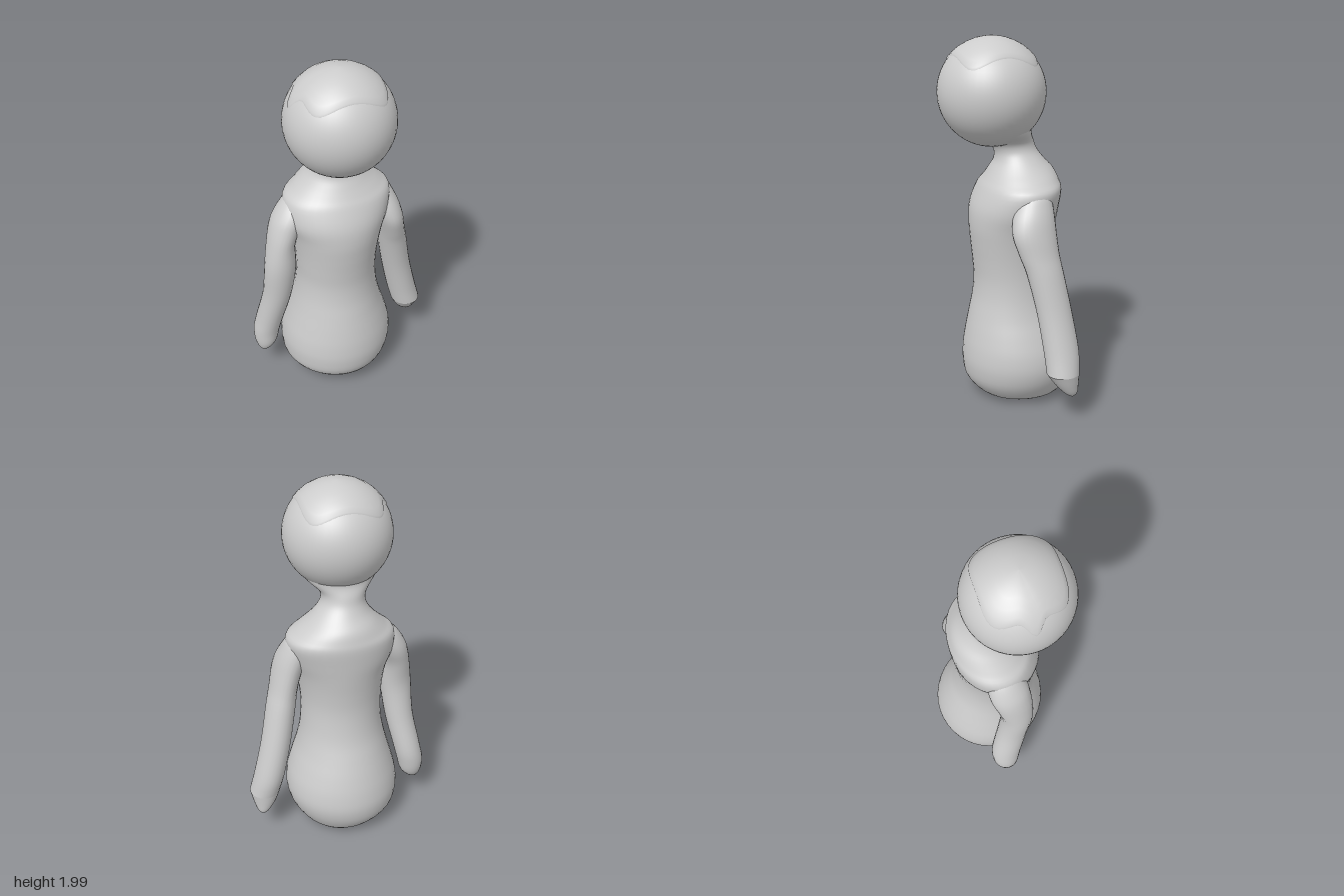
import * as THREE from 'three';

const clay = new THREE.MeshStandardMaterial({ color: 0xcccccc });
clay.name = 'clay grey';

// Skins closed rings of points, listed from bottom to top
function skin(name, rings) {
  const n = rings[0].length, index = [];
  for (let i = 0; i < rings.length - 1; i++) {
    for (let j = 0; j < n; j++) {
      const k = (j + 1) % n, a = i * n, b = a + n;
      index.push(a + j, b + j, a + k, a + k, b + j, b + k);
    }
  }
  const geometry = new THREE.BufferGeometry();
  geometry.setAttribute('position', new THREE.Float32BufferAttribute(rings.flat(2), 3));
  geometry.setIndex(index);
  geometry.computeVertexNormals();
  const mesh = new THREE.Mesh(geometry, clay);
  mesh.name = name;
  return mesh;
}

// Smooth loft through level ellipses given as [y, xMin, xMax, zMin, zMax]
function loft(name, rows, sides = 32, steps = 4) {
  const curve = (pick) => new THREE.CatmullRomCurve3(rows.map(pick), false, 'catmullrom', 0.5);
  const centre = curve(([y, x0, x1, z0, z1]) => new THREE.Vector3((x0 + x1) / 2, y, (z0 + z1) / 2));
  const radius = curve(([, x0, x1, z0, z1]) => new THREE.Vector3((x1 - x0) / 2, 0, (z1 - z0) / 2));
  const rings = [], count = (rows.length - 1) * steps;
  for (let i = 0; i <= count; i++) {
    const c = centre.getPoint(i / count), r = radius.getPoint(i / count), ring = [];
    for (let j = 0; j < sides; j++) {
      const a = (j / sides) * Math.PI * 2;
      ring.push([c.x + Math.max(r.x, 0.0005) * Math.cos(a), c.y, c.z + Math.max(r.z, 0.0005) * Math.sin(a)]);
    }
    rings.push(ring);
  }
  return skin(name, rings);
}

// Rounded-square cap with a small tab on one side, lying on the head
function skullCap(head) {
  const rings = [], sides = 72;
  for (const [f, R] of [[1.01, 0.282], [1, 0.291], [0.9, 0.291], [0.75, 0.291], [0.55, 0.29], [0.35, 0.29], [0.15, 0.29], [0.001, 0.29]]) {
    const ring = [];
    for (let j = 0; j < sides; j++) {
      const a = (j / sides) * Math.PI * 2, c = Math.cos(a), s = Math.sin(a);
      const extent = 0.207 / Math.pow(c ** 4 + s ** 4, 0.25) + 0.055 * Math.exp(-(((a - Math.PI) / 0.2) ** 2));
      const r = extent * f;
      ring.push([head.x + r * c, head.y + Math.sqrt(Math.max(R * R - r * r, 0)), head.z + r * s]);
    }
    rings.push(ring);
  }
  return skin('skullCap', rings);
}

export function createModel() {
  const model = new THREE.Group();
  model.name = 'figure';

  // Body with rounded base, waist, shoulders and neck
  model.add(loft('torso', [
    [0.005, -0.01, 0.01, -0.1, -0.09],
    [0.022, -0.2, 0.165, -0.27, 0.13],
    [0.1, -0.325, 0.24, -0.345, 0.23],
    [0.2, -0.352, 0.275, -0.372, 0.257],
    [0.3, -0.345, 0.272, -0.362, 0.255],
    [0.4, -0.32, 0.245, -0.335, 0.24],
    [0.5, -0.293, 0.212, -0.3, 0.22],
    [0.6, -0.272, 0.19, -0.265, 0.2],
    [0.7, -0.262, 0.18, -0.245, 0.192],
    [0.8, -0.265, 0.18, -0.236, 0.198],
    [0.9, -0.273, 0.19, -0.24, 0.208],
    [1.0, -0.29, 0.21, -0.25, 0.215],
    [1.1, -0.325, 0.245, -0.26, 0.205],
    [1.2, -0.32, 0.262, -0.266, 0.165],
    [1.25, -0.27, 0.215, -0.256, 0.135],
    [1.3, -0.22, 0.155, -0.235, 0.105],
    [1.35, -0.18, 0.105, -0.19, 0.078],
    [1.4, -0.164, 0.07, -0.155, 0.077],
    [1.45, -0.18, 0.073, -0.137, 0.11],
    [1.5, -0.238, 0.13, -0.118, 0.2],
    [1.54, -0.27, 0.16, -0.12, 0.3],
  ], 40));

  // Arm on the model's right, ending in a rounded point
  model.add(loft('rightArm', [
    [0.148, -0.468, -0.466, -0.08, -0.078],
    [0.17, -0.492, -0.435, -0.115, -0.045],
    [0.22, -0.511, -0.39, -0.15, -0.02],
    [0.3, -0.516, -0.368, -0.165, -0.01],
    [0.4, -0.498, -0.345, -0.16, 0.01],
    [0.6, -0.463, -0.303, -0.115, 0.055],
    [0.8, -0.453, -0.28, -0.09, 0.085],
    [0.95, -0.432, -0.278, -0.11, 0.085],
    [1.05, -0.41, -0.24, -0.135, 0.08],
    [1.12, -0.38, -0.2, -0.14, 0.07],
    [1.19, -0.328, -0.16, -0.13, 0.04],
    [1.24, -0.26, -0.18, -0.09, -0.01],
  ], 24));

  // Arm on the model's left, swept back
  model.add(loft('leftArm', [
    [0.28, 0.34, 0.506, -0.2, -0.025],
    [0.4, 0.308, 0.475, -0.21, -0.02],
    [0.6, 0.263, 0.425, -0.19, 0.0],
    [0.8, 0.225, 0.384, -0.16, 0.04],
    [0.9, 0.207, 0.358, -0.145, 0.072],
    [1.0, 0.18, 0.337, -0.14, 0.1],
    [1.08, 0.15, 0.315, -0.14, 0.09],
    [1.15, 0.12, 0.285, -0.14, 0.06],
    [1.2, 0.11, 0.255, -0.13, 0.03],
    [1.24, 0.13, 0.2, -0.09, -0.01],
  ], 24));

  // Pointed hand meeting the left arm at a crisp edge
  model.add(loft('leftHand', [
    [0.146, 0.445, 0.451, -0.16, -0.154],
    [0.17, 0.412, 0.475, -0.185, -0.115],
    [0.22, 0.37, 0.492, -0.194, -0.068],
    [0.28, 0.34, 0.506, -0.2, -0.025],
  ], 24));

  // Round head and the raised cap on its crown
  const head = new THREE.Mesh(new THREE.SphereGeometry(0.286, 48, 32), clay);
  head.name = 'head';
  head.position.set(-0.055, 1.71, 0.09);
  model.add(head, skullCap(head.position));

  return model;
}
